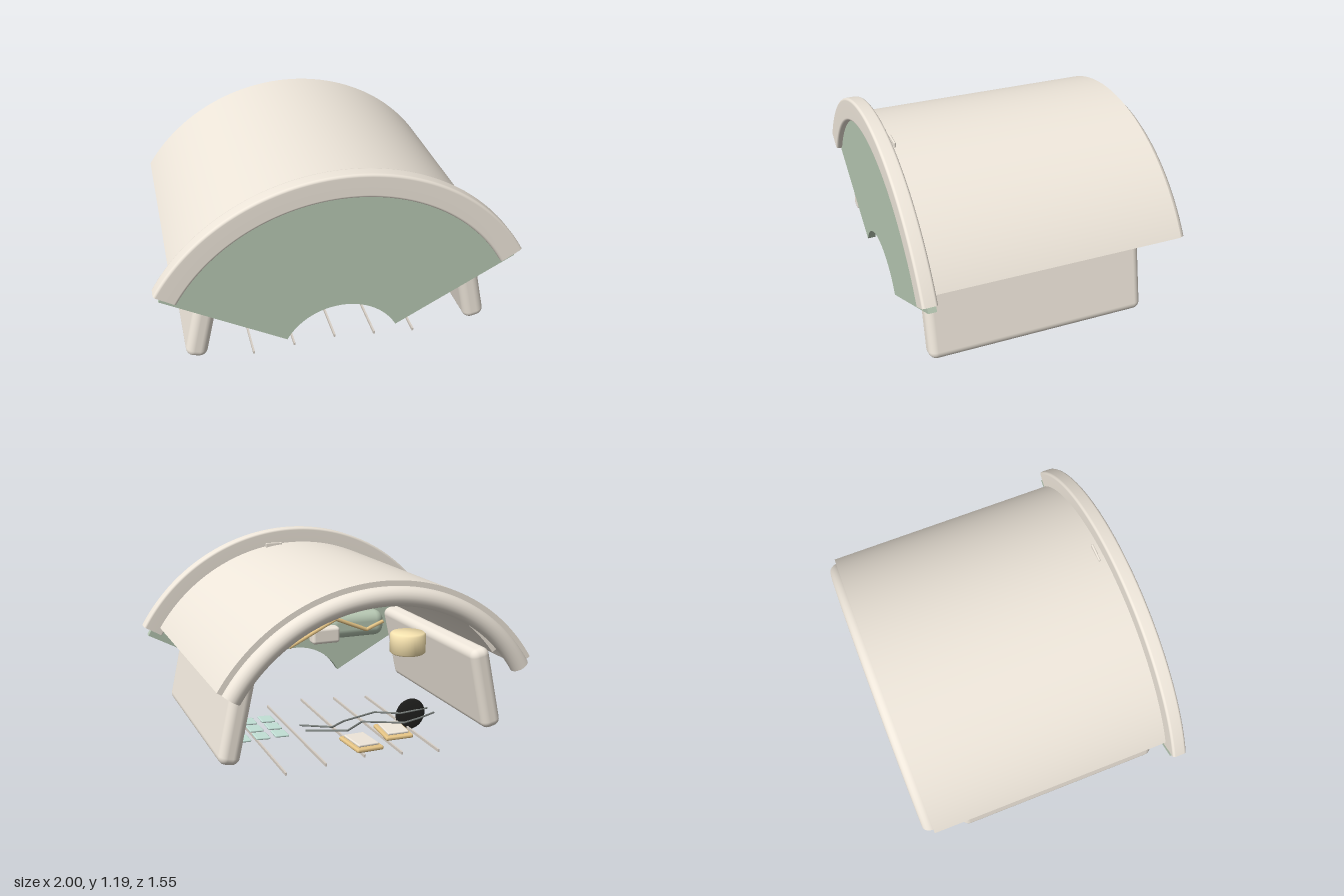
import * as THREE from 'three';
import { toCreasedNormals } from 'three/addons/utils/BufferGeometryUtils.js';
import { RoundedBoxGeometry } from 'three/addons/geometries/RoundedBoxGeometry.js';

const CY = 0.035; // height of the common arch axis
const rad = THREE.MathUtils.degToRad;
const mat = (color, side = THREE.FrontSide) => new THREE.MeshStandardMaterial({ color, side });

const cream = mat(0xefe7db);
const creamOpen = mat(0xefe7db, THREE.DoubleSide);
const greenOpen = mat(0xb6c7b2, THREE.DoubleSide);
const green = mat(0xb6c7b2);
const tileGreen = mat(0xc4e2d8);
const tan = mat(0xe6c586);
const yellow = mat(0xf8e4b0);
const steel = mat(0xd8d0c6);
const darkWire = mat(0x7c827f);
const black = mat(0x222220);

export function createModel() {
  const model = new THREE.Group();
  model.name = 'archedCanopy';

  const add = (name, geometry, material, x = 0, y = 0, z = 0, parent = model) => {
    const mesh = new THREE.Mesh(geometry, material);
    mesh.name = name;
    mesh.position.set(x, y, z);
    parent.add(mesh);
    return mesh;
  };

  // Hollow arch open at both ends: a rectangle with rounded corners swept
  // from startDeg to 180 - startDeg (radius 0 doubles the corner points, keeping edges sharp)
  const arch = (name, outer, inner, startDeg, z0, z1, round, material) => {
    const profile = [];
    const steps = round > 0 ? 4 : 1;
    const corners = [[inner, z0, 1, 1], [outer, z0, -1, 1], [outer, z1, -1, -1], [inner, z1, 1, -1]];
    corners.forEach(([r, z, sr, sz], c) => {
      for (let i = 0; i <= steps; i++) {
        const a = Math.PI + (c + i / steps) * Math.PI / 2;
        profile.push(new THREE.Vector2(
          r + round * (sr + Math.cos(a)), z + round * (sz + Math.sin(a))));
      }
    });
    profile.push(profile[0].clone());
    const geometry = new THREE.LatheGeometry(
      profile, 72, rad(90 + startDeg), rad(180 - 2 * startDeg));
    geometry.rotateX(Math.PI / 2);
    add(name, geometry, material, 0, CY, 0);
  };

  // Bent wire through a few points
  const wire = (name, points, radius, material) => {
    const path = new THREE.CurvePath();
    const p = points.map((q) => new THREE.Vector3(...q));
    for (let i = 1; i < p.length; i++) path.add(new THREE.LineCurve3(p[i - 1], p[i]));
    add(name, new THREE.TubeGeometry(path, 80, radius, 8), material);
  };

  // Roof shell, inner lining, front rim and fan-shaped front panel
  arch('roofShell', 1.065, 0.98, 32.3, -0.72, 0.7, 0, creamOpen);
  arch('roofLining', 0.979, 0.95, 36, -0.54, 0.69, 0, creamOpen);
  arch('frontRim', 1.157, 1.024, 30.2, 0.692, 0.775, 0.015, creamOpen);
  arch('frontPanel', 1.107, 0.348, 28.3, 0.694, 0.74, 0, greenOpen);

  // Rounded rear rim
  const start = rad(32.3);
  const rear = new THREE.TorusGeometry(0.983, 0.053, 20, 72, Math.PI - 2 * start);
  rear.rotateZ(start);
  add('rearRim', rear, creamOpen, 0, CY, -0.722);

  // Splayed side walls that carry the roof
  for (const s of [-1, 1]) {
    const leg = add('sideWall', new RoundedBoxGeometry(0.12, 0.5, 1.245, 5, 0.045),
      cream, s * 0.748, 0.372, 0.08);
    leg.rotation.z = s * rad(12.5);
  }

  // Small clip on the roof
  add('roofClip', new RoundedBoxGeometry(0.11, 0.03, 0.012, 2, 0.005), cream, 0.15, 1.093, 0.658);

  // Floor rods following a shallow curve
  [0.014, 0.032, 0.05, 0.032, 0.014].forEach((y, i) =>
    add('floorRod', new THREE.BoxGeometry(0.01, 0.017, 1.07), steel, (i - 2) * 0.235, y, 0.05));

  // Upright flattened disc
  const disc = new THREE.SphereGeometry(0.1, 40, 24);
  disc.scale(1, 1, 0.09);
  add('disc', disc, black, -0.49, 0.1, -0.065);

  // Grid of small tiles
  for (let i = 0; i < 3; i++) {
    for (let j = 0; j < 3; j++) {
      const tile = add('tile', new RoundedBoxGeometry(0.083, 0.013, 0.1, 2, 0.006),
        tileGreen, 0.4 + i * 0.113, 0.131, 0.09 - j * 0.13);
      tile.rotation.z = rad(3);
    }
  }

  // Two slightly turned trays with raised plates
  for (const [x, z, turn] of [[-0.285, -0.25, -1], [-0.03, -0.36, 1]]) {
    const tray = new THREE.Group();
    tray.name = 'tray';
    tray.position.set(x, 0.08, z);
    tray.rotation.set(0, turn * rad(5), turn * rad(1.5));
    model.add(tray);
    add('trayBase', new RoundedBoxGeometry(0.17, 0.025, 0.24, 3, 0.011), tan, 0, 0, 0, tray);
    add('trayPlate', new RoundedBoxGeometry(0.13, 0.016, 0.19, 2, 0.007), cream, 0, 0.02, 0, tray);
  }

  // Zigzag wires lying level
  wire('zigzagWire', [[0.24, 0.122, -0.16], [0.01, 0.122, -0.25], [-0.13, 0.122, -0.14],
    [-0.36, 0.122, -0.25], [-0.48, 0.122, -0.21], [-0.61, 0.122, -0.15]], 0.006, darkWire);
  wire('zigzagWire', [[0.24, 0.122, -0.06], [0.07, 0.122, -0.16], [-0.03, 0.122, -0.09],
    [-0.27, 0.122, -0.01], [-0.41, 0.122, -0.09], [-0.61, 0.122, -0.06]], 0.006, darkWire);

  // Fittings under the roof
  add('hangingCabinet', new RoundedBoxGeometry(0.38, 0.16, 0.28, 5, 0.06), green, -0.24, 0.63, 0.33);
  add('hangingBox', new RoundedBoxGeometry(0.18, 0.1, 0.08, 3, 0.02), cream, -0.01, 0.6, 0.17);
  wire('hangingWire', [[0.246, 0.56, 0.1], [-0.057, 0.71, 0.1], [-0.26, 0.626, 0.1],
    [-0.37, 0.67, 0.1]], 0.012, tan);
  const drum = new THREE.LatheGeometry([[0, -0.065], [0.1, -0.065], [0.11, -0.055], [0.11, 0.055],
    [0.1, 0.065], [0, 0.065]].map(([r, y]) => new THREE.Vector2(r, y)), 40);
  add('drum', toCreasedNormals(drum, 0.9), yellow, -0.47, 0.56, -0.05);

  return model;
}
